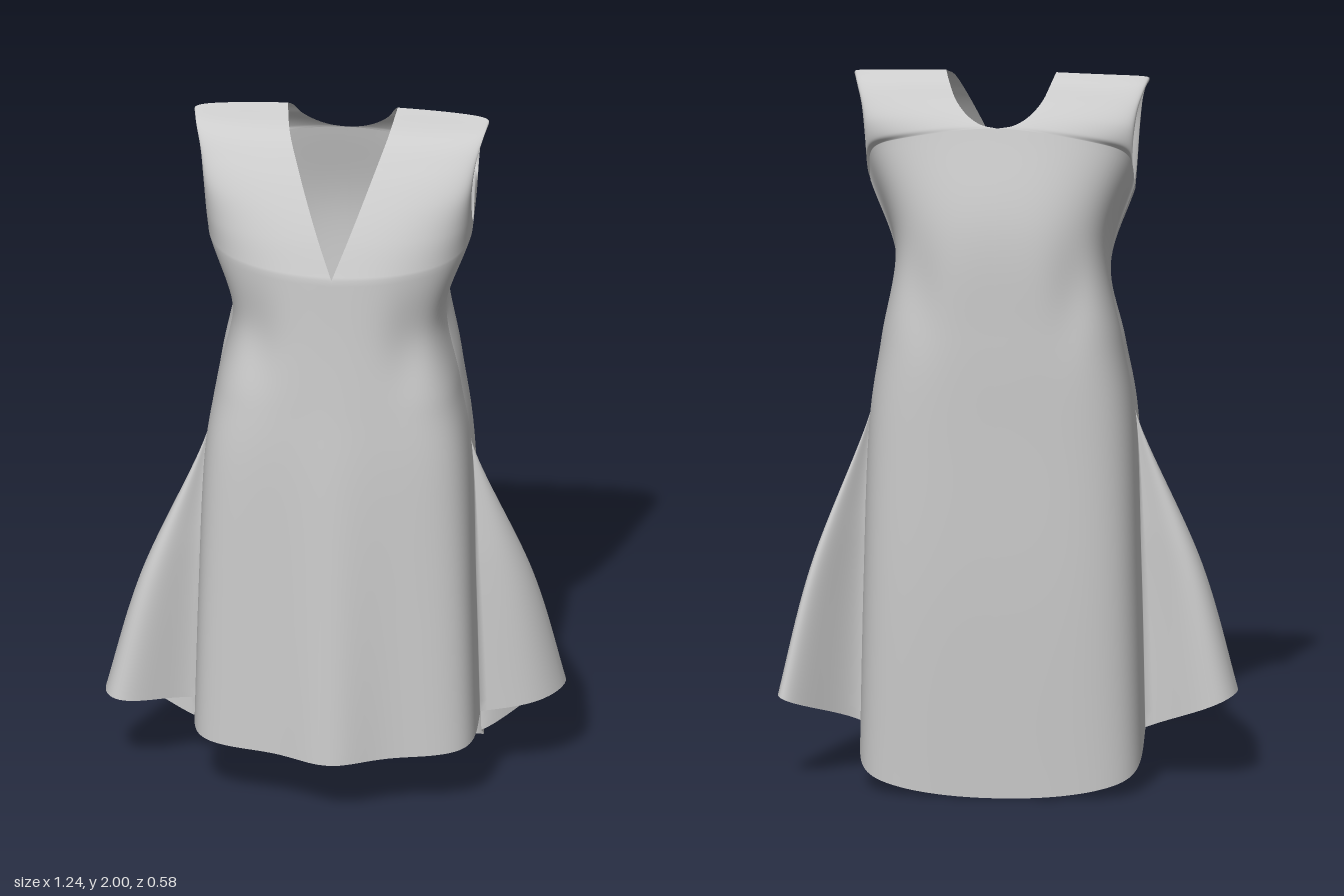
import * as THREE from 'three';
import { mergeGeometries, mergeVertices } from 'three/addons/utils/BufferGeometryUtils.js';

const BODY = 36, FIN = 18, ROWS = 120, CENTER = 0.015;
const SPLIT = 5; // key row where the side seam opens into the armhole

// Key rows from hem to shoulder.
// Each row: inner edge y, x, z (centre line, then neckline), centre fold depth, boxiness power
const FRONT = [
  [0.18, 0, 0.222, 0.068, 0.42],
  [0.60, 0, 0.220, 0.045, 0.46],
  [1.00, 0, 0.220, 0.022, 0.54],
  [1.22, 0, 0.216, 0.010, 0.62],
  [1.42, 0, 0.212, 0.003, 0.72],
  [1.62, 0, 0.208, 0, 0.80],
  [1.72, 0.040, 0.168, 0, 0.82],
  [1.81, 0.075, 0.120, 0, 0.85],
  [1.89, 0.106, 0.066, 0, 0.90],
  [1.96, 0.134, 0.000, 0, 0.95],
  [2.00, 0.150, -0.100, 0, 1.0],
];
const BACK = [
  [0.00, 0, -0.252, 0, 0.48],
  [0.55, 0, -0.275, 0, 0.52],
  [1.00, 0, -0.283, 0, 0.58],
  [1.30, 0, -0.288, 0, 0.64],
  [1.60, 0, -0.284, 0, 0.66],
  [1.87, 0, -0.224, 0, 0.62],
  [1.878, 0.045, -0.218, 0, 0.66],
  [1.90, 0.085, -0.200, 0, 0.72],
  [1.935, 0.118, -0.170, 0, 0.80],
  [1.975, 0.138, -0.137, 0, 0.90],
  [2.00, 0.150, -0.100, 0, 1.0],
];
// Side seam shared by both panels: y, x, z, flare amount, y of flare tip
const SEAM = [
  [0.22, 0.386, -0.01, 1, 0.25],
  [0.60, 0.376, -0.01, 0.63, 0.60],
  [1.00, 0.362, -0.02, 0.03, 1.00],
  [1.22, 0.328, -0.03, 0, 1.22],
  [1.45, 0.290, -0.04, 0, 1.45],
  [1.68, 0.360, -0.065, 0, 1.68],
];
// Armhole edges: y, x, z
const ARM_FRONT = [
  [1.735, 0.362, -0.005], [1.83, 0.366, 0.033], [1.91, 0.376, 0.015],
  [1.960, 0.392, -0.025], [1.978, 0.402, -0.075],
];
const ARM_BACK = [
  [1.735, 0.362, -0.138], [1.83, 0.366, -0.168], [1.91, 0.376, -0.152],
  [1.960, 0.392, -0.115], [1.978, 0.402, -0.075],
];

// Smooth interpolation through key rows, with a crisp break at the split row
function sampleRows(allRows, t) {
  const rows = t < 0.5 ? allRows.slice(0, SPLIT + 1) : allRows.slice(SPLIT);
  const last = rows.length - 1, p = (t < 0.5 ? t * 2 : t * 2 - 1) * last;
  const k = Math.min(Math.floor(p), last - 1), f = p - k;
  const tangent = (i, c) => (i === 0 ? rows[1][c] - rows[0][c]
    : i === last ? rows[last][c] - rows[last - 1][c]
      : (rows[i + 1][c] - rows[i - 1][c]) / 2);
  const f2 = f * f, f3 = f2 * f;
  return rows[k].map((b, c) => (2 * f3 - 3 * f2 + 1) * b + (f3 - 2 * f2 + f) * tangent(k, c)
    + (3 * f2 - 2 * f3) * rows[k + 1][c] + (f3 - f2) * tangent(k + 1, c));
}

// One quarter of the dress: side = 1 front / -1 back, sx = 1 left / -1 right
function quarter(side, sx) {
  const inner = side > 0 ? FRONT : BACK;
  const arm = (side > 0 ? ARM_FRONT : ARM_BACK).map((r) => [...r, 0, r[0]]);
  const outer = [...SEAM, ...arm];
  const tipZ = sx > 0 ? -0.145 : 0.015;
  const thickness = sx > 0 ? 0.17 : 0.24;
  const positions = [], indices = [], cols = BODY + FIN + 1;

  for (let i = 0; i <= ROWS; i++) {
    const t = i / ROWS;
    const [yi, xi, zi, fold, power] = sampleRows(inner, t);
    let [yo, xo, zo, flare, tipY] = sampleRows(outer, t);
    flare = Math.max(0, flare);
    // the back hem drops lower at the seam
    if (side < 0) yo -= 0.07 * Math.max(0, 1 - t * 10) ** 2;
    const gap = side * 0.012 * Math.min(1, flare * 2);

    // body section: rounded box from centre line to seam
    for (let j = 0; j <= BODY; j++) {
      const u = j / BODY;
      const a = (Math.PI / 2) * (u < 0.5 ? 2 * u * u : 1 - 2 * (1 - u) ** 2);
      const c = j === BODY ? 0 : Math.cos(a);
      const x = xi + (xo - xi) * Math.sin(a) ** power;
      const y = yi + (yo - yi) * u * u;
      let z = zo + gap + (zi - zo - gap) * c ** power;
      z += side * fold * Math.exp(-((x / 0.12) ** 2));
      // soft drape below the armhole
      const drape = Math.exp(-(((y - 1.42) / 0.14) ** 2) - ((x - 0.21) / 0.06) ** 2);
      z -= side * 0.015 * drape * Math.min(1, 3 * (1 - u));
      positions.push(CENTER + sx * x, y, z);
    }
    // side flare: half of a teardrop fold running out to its tip
    const px = CENTER + sx * xo, dx = sx * 0.62 - px;
    for (let j = 1; j <= FIN; j++) {
      const s = 1 - (1 - j / FIN) ** 1.6;
      const bulb = side * thickness * flare * s ** 1.7 * Math.sqrt(1 - s);
      positions.push(
        px + dx * flare * s,
        yo + (tipY - yo) * s,
        zo + gap * (1 - s) + (tipZ - zo) * flare * s ** 1.5 + bulb,
      );
    }
  }
  for (let i = 0; i < ROWS; i++) {
    for (let j = 0; j < cols - 1; j++) {
      const a = i * cols + j, b = a + 1, c = a + cols, d = c + 1;
      if (side * sx > 0) indices.push(a, b, d, a, d, c);
      else indices.push(a, d, b, a, c, d);
    }
  }
  const geometry = new THREE.BufferGeometry();
  geometry.setAttribute('position', new THREE.Float32BufferAttribute(positions, 3));
  geometry.setIndex(indices);
  return geometry;
}

export function createModel() {
  const group = new THREE.Group();
  group.name = 'dress';
  const cloth = new THREE.MeshStandardMaterial({ color: 0xcccccc, side: THREE.DoubleSide });

  // front and back panels, each joined along the centre line
  for (const [name, side] of [['frontPanel', 1], ['backPanel', -1]]) {
    const geometry = mergeVertices(mergeGeometries([quarter(side, 1), quarter(side, -1)]), 1e-4);
    geometry.computeVertexNormals();
    const mesh = new THREE.Mesh(geometry, cloth);
    mesh.name = name;
    group.add(mesh);
  }
  return group;
}
